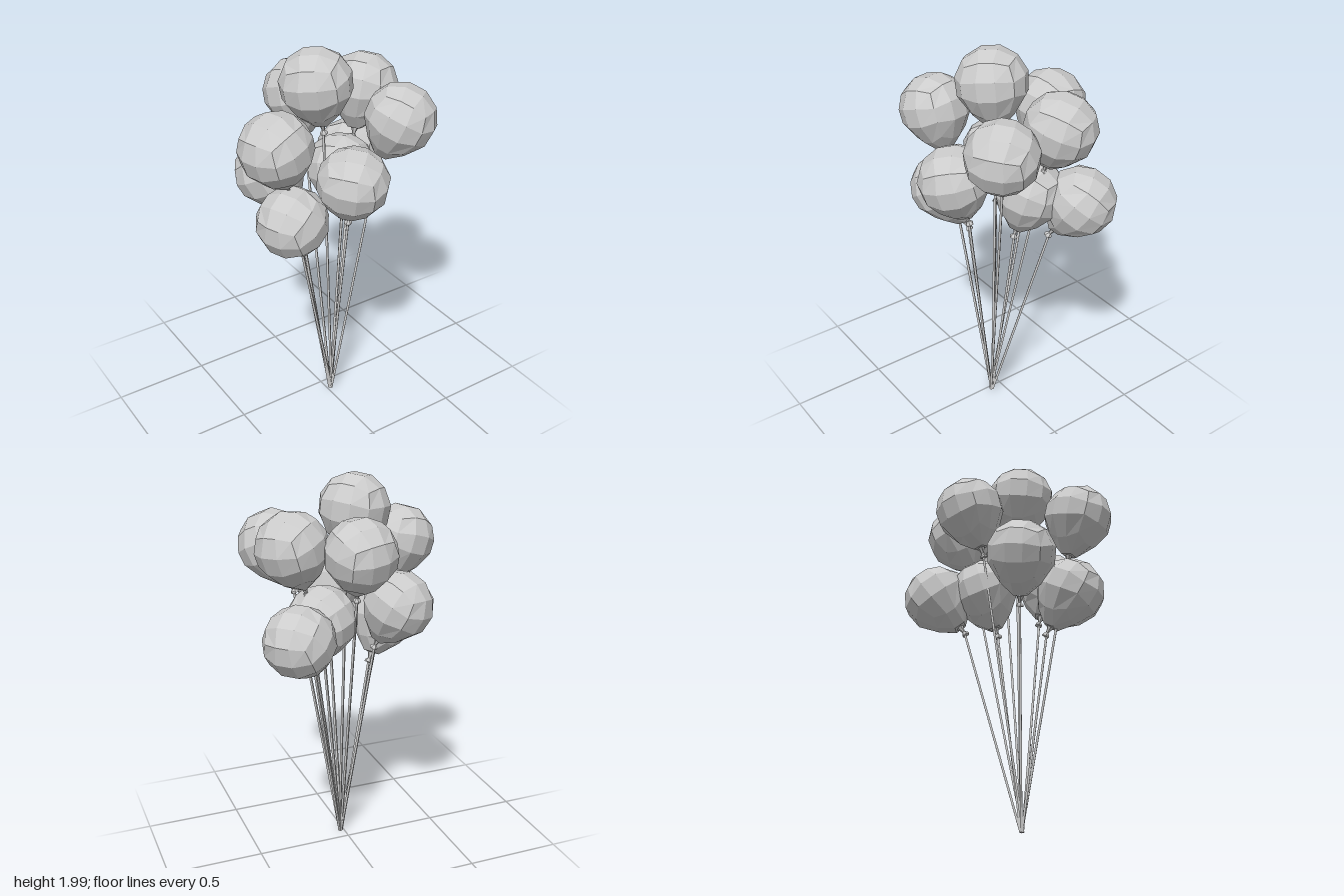
import * as THREE from 'three';

const R = 0.181;
const UP = new THREE.Vector3(0, 1, 0);

// Balloon body: a gridded cube swollen to a ball, lower half drawn to a neck
function balloonGeometry() {
  const g = new THREE.BoxGeometry(2, 2, 2, 3, 3, 3);
  const p = g.attributes.position;
  const v = new THREE.Vector3();
  const even = (a) => Math.tan(a * Math.PI / 4);
  for (let i = 0; i < p.count; i++) {
    v.fromBufferAttribute(p, i);
    v.set(even(v.x), even(v.y), even(v.z)).normalize();
    if (v.y < 0) {
      const t = -v.y;
      const pinch = 1 - 0.42 * t * t;
      v.set(v.x * pinch, v.y * (1 + 0.26 * t), v.z * pinch);
    }
    p.setXYZ(i, v.x * R, v.y * R, v.z * R);
  }
  g.computeVertexNormals();
  return g;
}

// Knot: narrow throat with a flared lip
function knotGeometry() {
  const pts = [[0, -0.268], [0.02, -0.266], [0.019, -0.256], [0.008, -0.244], [0.012, -0.228], [0.02, -0.212]];
  return new THREE.LatheGeometry(pts.map(([x, y]) => new THREE.Vector2(x, y)), 6);
}

export function createModel() {
  const model = new THREE.Group();
  model.name = 'balloonBunch';
  const mat = new THREE.MeshStandardMaterial({ color: 0xcccccc, flatShading: true, side: THREE.DoubleSide });
  const bodyGeo = balloonGeometry();
  const knotGeo = knotGeometry();
  const base = new THREE.Vector3(0.02, 0.005, 0.068);

  // Each balloon: centre, point its neck aims at, roll about its axis
  const balloons = [
    [[-0.037, 1.82, 0.015], [0.0, 1.58, 0.02], 0.78],
    [[-0.34, 1.615, 0.145], [-0.27, 1.38, 0.13], 0.25],
    [[0.315, 1.63, 0.213], [0.23, 1.39, 0.15], 0.7],
    [[0.325, 1.685, -0.11], [0.25, 1.45, -0.08], 0.6],
    [[0.045, 1.665, -0.272], [0.03, 1.43, -0.19], 0.2],
    [[0.005, 1.395, 0.268], [0.025, 1.16, 0.205], 0.78],
    [[-0.262, 1.21, 0.15], [-0.15, 0.99, 0.085], 0.4],
    [[-0.21, 1.35, -0.138], [-0.11, 1.11, -0.06], 0.6],
    [[0.165, 1.295, -0.065], [0.13, 1.06, 0.0], 0.5],
    [[0.34, 1.265, -0.24], [0.23, 1.06, -0.14], 0.75],
  ];

  balloons.forEach(([c, k, roll], i) => {
    const centre = new THREE.Vector3(...c);
    const axis = centre.clone().sub(new THREE.Vector3(...k)).normalize();

    const balloon = new THREE.Group();
    balloon.name = 'balloon' + (i + 1);
    balloon.position.copy(centre);
    balloon.quaternion.setFromUnitVectors(UP, axis);
    const body = new THREE.Mesh(bodyGeo, mat);
    body.name = 'balloonBody';
    body.rotation.y = roll;
    const knot = new THREE.Mesh(knotGeo, mat);
    knot.name = 'knot';
    balloon.add(body, knot);
    model.add(balloon);

    // String from the gathered foot up to the knot
    const a = i / balloons.length * Math.PI * 2;
    const foot = base.clone().add(new THREE.Vector3(Math.cos(a) * 0.006, 0, Math.sin(a) * 0.006));
    const top = centre.clone().addScaledVector(axis, -0.25);
    const dir = top.clone().sub(foot);
    const string = new THREE.Mesh(new THREE.CylinderGeometry(0.008, 0.008, dir.length(), 4), mat);
    string.name = 'string' + (i + 1);
    string.position.copy(foot).add(top).multiplyScalar(0.5);
    string.quaternion.setFromUnitVectors(UP, dir.normalize());
    model.add(string);
  });
  return model;
}
